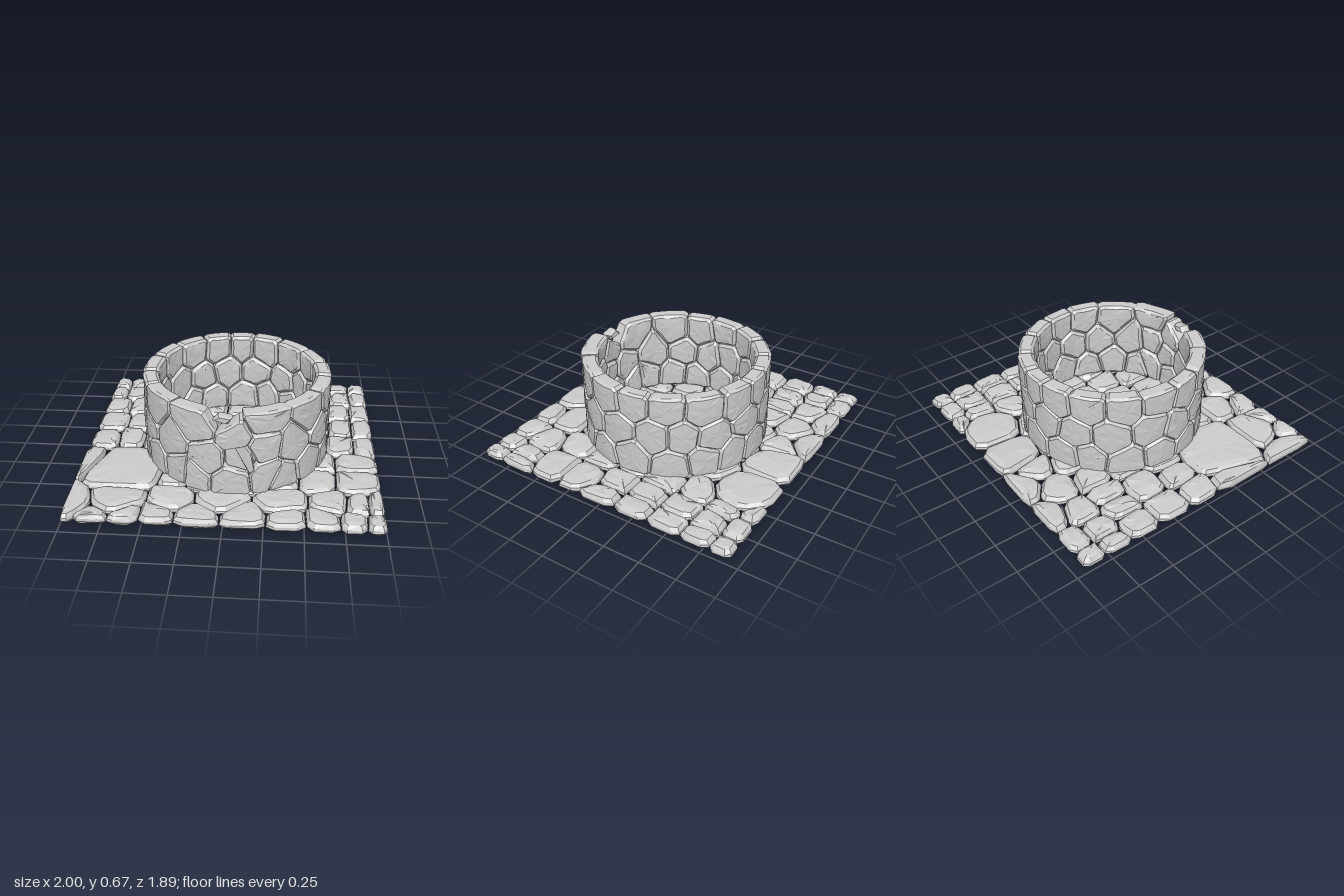
import * as THREE from 'three';

const material = new THREE.MeshStandardMaterial({ color: 0xcccccc, flatShading: true });

function seeded(seed) {
  return () => {
    seed = (seed * 16807) % 2147483647;
    return seed / 2147483647;
  };
}

// Cell of one seed: a rectangle clipped against every neighbour (weight w enlarges a stone)
function cell(seed, seeds, rect, wrap) {
  const [u0, v0, u1, v1] = rect;
  let poly = wrap
    ? [[seed.u - 0.6, v0], [seed.u + 0.6, v0], [seed.u + 0.6, v1], [seed.u - 0.6, v1]]
    : [[u0, v0], [u1, v0], [u1, v1], [u0, v1]];
  for (const other of seeds) {
    if (other === seed) continue;
    let du = other.u - seed.u;
    if (wrap) du -= wrap * Math.round(du / wrap);
    const dv = other.v - seed.v;
    const limit = (du * du + dv * dv + seed.w - other.w) / 2;
    const side = (p) => (p[0] - seed.u) * du + (p[1] - seed.v) * dv - limit;
    const out = [];
    poly.forEach((p, i) => {
      const q = poly[(i + 1) % poly.length];
      const a = side(p), b = side(q);
      if (a <= 0) out.push(p);
      if (a * b < 0) out.push(mix(p, q, a / (a - b)));
    });
    poly = out;
  }
  return poly;
}

const mix = (p, q, t) => [p[0] + (q[0] - p[0]) * t, p[1] + (q[1] - p[1]) * t];

// Cut the corners, then split edges longer than maxEdge
function soften(poly, cut, maxEdge) {
  const corners = poly.flatMap((p, i) => {
    const q = poly[(i + 1) % poly.length];
    return [mix(p, q, cut), mix(p, q, 1 - cut)];
  });
  return corners.flatMap((p, i) => {
    const q = corners[(i + 1) % corners.length];
    const n = Math.max(1, Math.ceil(Math.hypot(q[0] - p[0], q[1] - p[1]) / maxEdge));
    return Array.from({ length: n }, (_, k) => mix(p, q, k / n));
  });
}

// Closed stone from inset copies of an outline; place(u, v, t) bends it into position
function stone(name, outline, sections, place, rand, rough) {
  const n = outline.length;
  const c = outline.reduce((s, p) => [s[0] + p[0] / n, s[1] + p[1] / n], [0, 0]);
  const reach = Math.min(...outline.map((p) => Math.hypot(p[0] - c[0], p[1] - c[1])));
  const positions = [], index = [];
  for (const [inset, t] of sections) {
    for (const p of outline) {
      const q = mix(p, c, Math.min(0.75, Math.min(inset, reach * 0.75) / Math.hypot(p[0] - c[0], p[1] - c[1])));
      positions.push(...place(q[0], q[1], t + (rand() - 0.5) * rough));
    }
  }
  const last = sections.length - 1;
  const low = positions.length / 3;
  positions.push(...place(c[0], c[1], sections[0][1]), ...place(c[0], c[1], sections[last][1]));
  for (let i = 0; i < n; i++) {
    const j = (i + 1) % n;
    for (let k = 0; k < last; k++) {
      const a = k * n + i, b = k * n + j;
      index.push(a, b, b + n, a, b + n, a + n);
    }
    index.push(low, j, i, low + 1, last * n + i, last * n + j);
  }
  const geometry = new THREE.BufferGeometry();
  geometry.setAttribute('position', new THREE.Float32BufferAttribute(positions, 3));
  geometry.setIndex(index);
  geometry.computeVertexNormals();
  const mesh = new THREE.Mesh(geometry, material);
  mesh.name = name;
  return mesh;
}

// Square paving of flat cobbles
function createPaving() {
  const group = new THREE.Group();
  group.name = 'paving';
  const rand = seeded(71);
  const rows = [
    [-0.89, [-0.95, -0.81, -0.55, -0.23, 0.58, 0.78, 0.95]],
    [-0.71, [-0.95, -0.81, -0.62, -0.37, -0.1, 0.63, 0.8, 0.94]],
    [-0.5, [-0.91, -0.72, -0.59, -0.42, -0.18, 0.05, 0.3, 0.58, 0.78, 0.93]],
    [-0.25, [-0.9, -0.67, -0.42, -0.2, 0, 0.2, 0.4, 0.6, 0.78, 0.93]],
    [-0.01, [-0.9, -0.71, -0.54, -0.36, -0.2, -0.02, 0.17, 0.35, 0.56, 0.77, 0.94]],
    [0.22, [-0.42, -0.22, -0.02, 0.2, 0.4, 0.6, 0.83]],
    [0.43, [-0.35, -0.18, -0.02, 0.17, 0.35, 0.59, 0.83]],
    [0.69, [-0.35, -0.03, 0.37, 0.68, 0.85, 0.96]],
    [0.87, [-0.81, -0.6, -0.43, -0.17, 0.13, 0.4, 0.62, 0.82, 0.95]],
  ];
  const seeds = rows.flatMap(([z, xs]) =>
    xs.map((x) => ({ u: x, v: -z + (rand() - 0.5) * 0.03, w: 0 })));
  // Larger slabs and long edge stones: x, z, weight
  for (const [x, z, w] of [[0.11, -0.76, 0.02], [0.42, -0.75, 0.03], [-0.7, 0.38, 0.06],
    [-0.96, 0.3, 0.02], [-0.96, 0.76, 0.01], [-0.7, 0.7, 0.02]]) seeds.push({ u: x, v: -z, w });
  for (const seed of seeds) {
    const poly = cell(seed, seeds, [-1, -0.945, 1, 0.945]);
    if (poly.length < 3) continue;
    const tiltU = (rand() - 0.5) * 0.06, tiltV = (rand() - 0.5) * 0.06;
    const place = (u, v, t) => [
      u, THREE.MathUtils.clamp(t + (u - seed.u) * tiltU + (v - seed.v) * tiltV, 0, 0.097), -v];
    const sections = [[0.06, 0.006], [0.025, 0.02], [0.003, 0.042], [0.005, 0.06], [0.025, 0.083], [0.07, 0.09]];
    group.add(stone('cobble', soften(poly, 0.2, 0.3), sections, place, rand, 0.008));
  }
  return group;
}

// Round wall of tightly fitted curved stones, with a broken spot at the front
function createWall() {
  const group = new THREE.Group();
  group.name = 'wall';
  const rand = seeded(1234);
  const outer = 0.632, inner = 0.52, around = Math.PI * 2 * outer;
  const seeds = [];
  [0.17, 0.37, 0.57].forEach((y, row) => {
    const count = 17;
    for (let i = 0; i < count; i++) {
      const u = ((i + (row % 2) / 2 + (rand() - 0.5) * 0.4) / count - 0.5) * around;
      const v = y + (rand() - 0.5) * 0.07;
      if (Math.abs(u) > 0.33) seeds.push({ u, v, w: 0, push: (rand() - 0.5) * 0.008 });
    }
  });
  // Front stones: position, height, outward push
  for (const [u, v, push] of [[-0.26, 0.18, 0.01], [-0.15, 0.34, 0.015], [-0.22, 0.55, 0.005],
    [0, 0.17, 0.01], [0.24, 0.2, 0.01], [0.06, 0.35, -0.02], [0.03, 0.51, 0.03],
    [0.2, 0.42, 0.02], [0.2, 0.6, 0.01]]) seeds.push({ u, v, w: 0, push });
  seeds.push({ u: -0.06, v: 0.65, w: 0, gap: true });

  const place = (u, v, r) => {
    const a = u / outer;
    return [0.035 + Math.sin(a) * r, v, 0.015 + Math.cos(a) * r];
  };
  for (const seed of seeds) {
    if (seed.gap) continue;
    const poly = cell(seed, seeds, [0, 0.075, 0, 0.655 + rand() * 0.012], around);
    const sections = [[0.07, inner], [0.022, inner + 0.003], [0.002, inner + 0.022],
      [0.001, outer - 0.02], [0.014, outer - 0.002], [0.07, outer]]
      .map(([inset, r], i) => [inset, i > 2 ? r + seed.push : r]);
    group.add(stone('wallStone', soften(poly, 0.1, 0.07), sections, place, rand, 0.004));
  }
  // Loose shards wedged in the broken spot
  const shards = [
    [[[-0.12, 0.6], [-0.02, 0.58], [0.01, 0.62], [-0.08, 0.64]], 0.55, 0.625],
    [[[0.02, 0.44], [0.12, 0.23], [0.15, 0.25], [0.13, 0.4], [0.07, 0.47]], 0.58, 0.645],
  ];
  for (const [outline, r0, r1] of shards) {
    group.add(stone('shard', outline, [[0.015, r0], [0, r0 + 0.02], [0, r1 - 0.015], [0.015, r1]], place, rand, 0.006));
  }
  return group;
}

export function createModel() {
  const model = new THREE.Group();
  model.name = 'stoneWell';
  model.add(createPaving(), createWall());
  return model;
}
